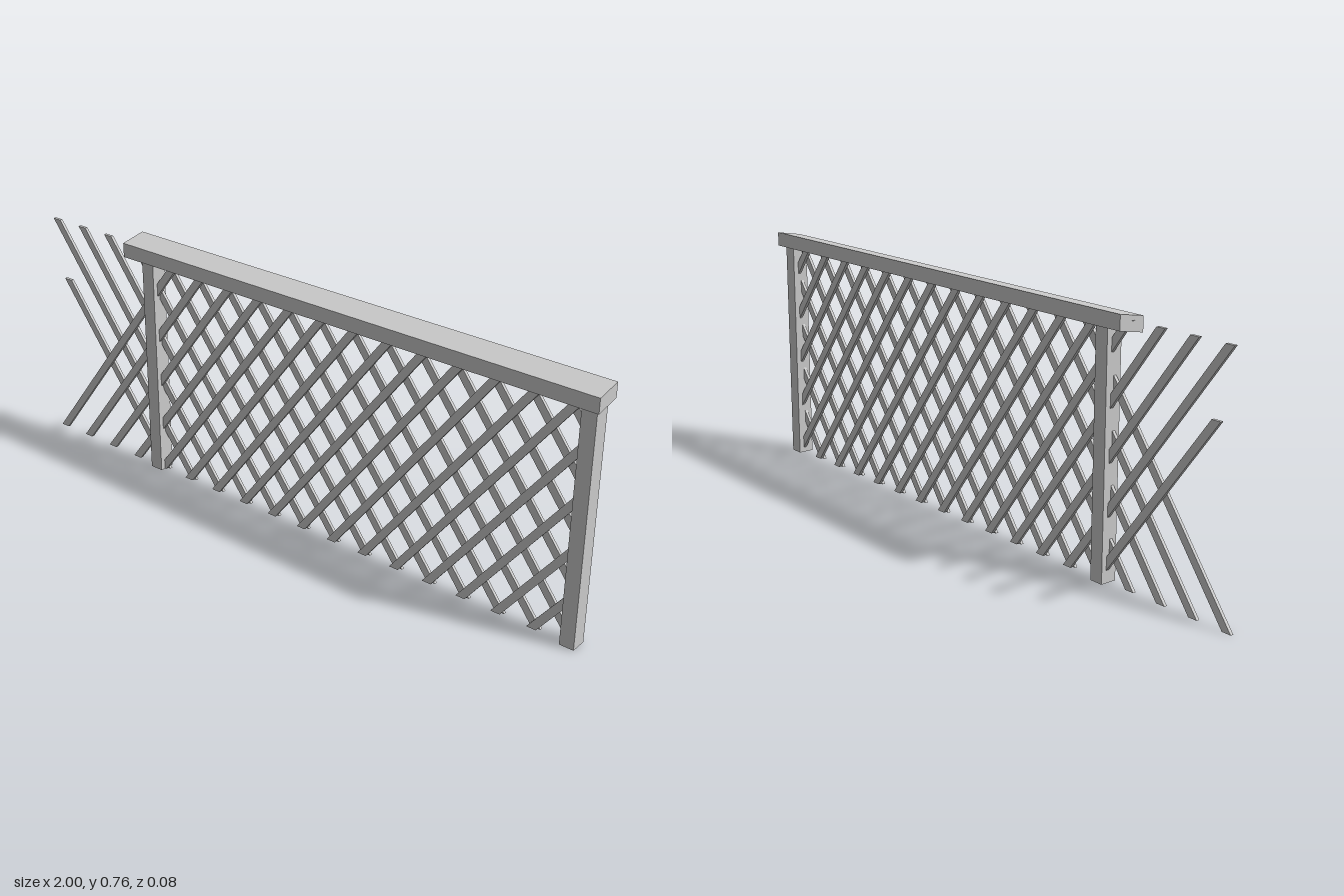
import * as THREE from 'three';

const material = new THREE.MeshStandardMaterial({ color: 0xcccccc, flatShading: true });

function extrude(points, depth) {
  const shape = new THREE.Shape(points.map(([x, y]) => new THREE.Vector2(x, y)));
  return new THREE.ExtrudeGeometry(shape, { depth, bevelEnabled: false });
}

function addMesh(parent, name, geometry) {
  const mesh = new THREE.Mesh(geometry, material);
  mesh.name = name;
  parent.add(mesh);
  return mesh;
}

export function createModel() {
  const group = new THREE.Group();
  group.name = 'trellisFence';

  const height = 0.735;    // slat height
  const run = 0.56;        // sideways travel of a slat over its height
  const pitch = 0.1147;    // spacing between slats
  const halfWidth = 0.015; // half of the level cut at a slat's end
  const thickness = 0.0095;
  const rightEnd = 0.968;  // slats stop inside the right post

  // Slat with level-cut ends, following x = foot + lean * y / height
  function slat(parent, name, foot, lean, y0, y1, z) {
    const at = (y) => foot + (lean * y) / height;
    const geometry = extrude([
      [at(y0) - halfWidth, y0], [at(y0) + halfWidth, y0],
      [at(y1) + halfWidth, y1], [at(y1) - halfWidth, y1],
    ], thickness);
    addMesh(parent, name, geometry).position.z = z;
  }

  // Lattice: two layers of crossing slats
  const lattice = new THREE.Group();
  lattice.name = 'lattice';
  group.add(lattice);
  for (let i = 0; i <= 16; i++) {
    const foot = -0.985 + i * pitch;
    const top = Math.min(height, ((rightEnd - foot) * height) / run);
    slat(lattice, 'frontSlat', foot, run, 0, top, 0.0105);
  }
  for (let i = -1; i <= 16; i++) {
    const foot = -0.403 + i * pitch;
    const bottom = Math.max(0, ((foot - rightEnd) * height) / run);
    const top = i < 0 ? 0.54 : height; // the outermost slat is shorter
    slat(lattice, 'backSlat', foot, -run, bottom, top, 0.001);
  }

  // Posts
  for (const [name, x] of [['rightPost', -0.539], ['leftPost', 0.968]]) {
    addMesh(group, name, new THREE.BoxGeometry(0.044, 0.708, 0.05))
      .position.set(x, 0.354, 0.01);
  }

  // Sloping top rail, higher at the back
  const rail = extrude([[-0.041, 0.713], [0.041, 0.699], [0.041, 0.743], [-0.041, 0.757]], 1.63);
  rail.rotateY(-Math.PI / 2);
  addMesh(group, 'topRail', rail).position.x = 0.997;

  return group;
}
